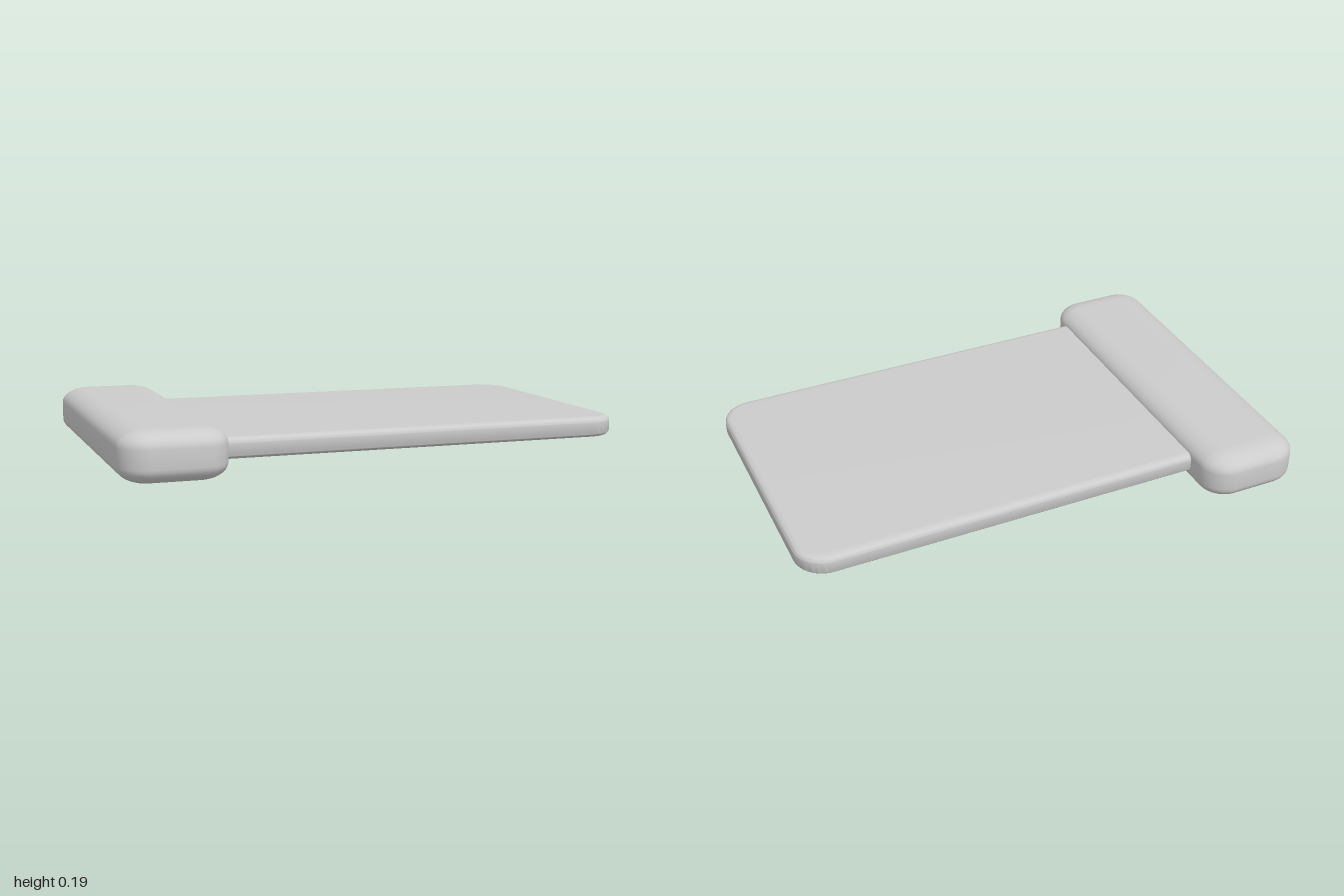
import * as THREE from 'three';
import { toCreasedNormals } from 'three/addons/utils/BufferGeometryUtils.js';

// Flat slab with rounded plan corners and softly rolled top and bottom edges
function slab(name, { x, y, z, corner, roll, rise }) {
  const w = (x[1] - x[0]) / 2, h = y[1] - y[0], d = (z[1] - z[0]) / 2;
  const a = w - corner, b = d - corner, q = Math.PI / 2;
  const outline = new THREE.Shape();
  [[a, b], [-a, b], [-a, -b], [a, -b]].forEach(([cx, cy], i) =>
    outline.absarc(cx, cy, corner, i * q, (i + 1) * q, false));
  outline.closePath();

  const geometry = new THREE.ExtrudeGeometry(outline, {
    depth: h - 2 * rise,
    bevelThickness: rise,
    bevelSize: roll,
    bevelOffset: -roll,
    bevelSegments: 8,
    curveSegments: 10,
  });
  geometry.rotateX(-Math.PI / 2);

  const mesh = new THREE.Mesh(
    toCreasedNormals(geometry, 0.7),
    new THREE.MeshStandardMaterial({ color: 0xcccccc }),
  );
  mesh.name = name;
  mesh.position.set((x[0] + x[1]) / 2, y[0] + rise, (z[0] + z[1]) / 2);
  return mesh;
}

export function createModel() {
  const model = new THREE.Group();
  model.name = 'bladeWithHandle';

  // Thick cushioned bar across the end
  model.add(slab('handleBar', {
    x: [-1, -0.6], y: [0, 0.19], z: [-0.7, 0.7], corner: 0.11, roll: 0.1, rise: 0.06,
  }));

  // Thin plate, its hidden end seated inside the bar
  model.add(slab('plate', {
    x: [-0.8, 1], y: [0.058, 0.138], z: [-0.53, 0.58], corner: 0.12, roll: 0.03, rise: 0.022,
  }));

  return model;
}
